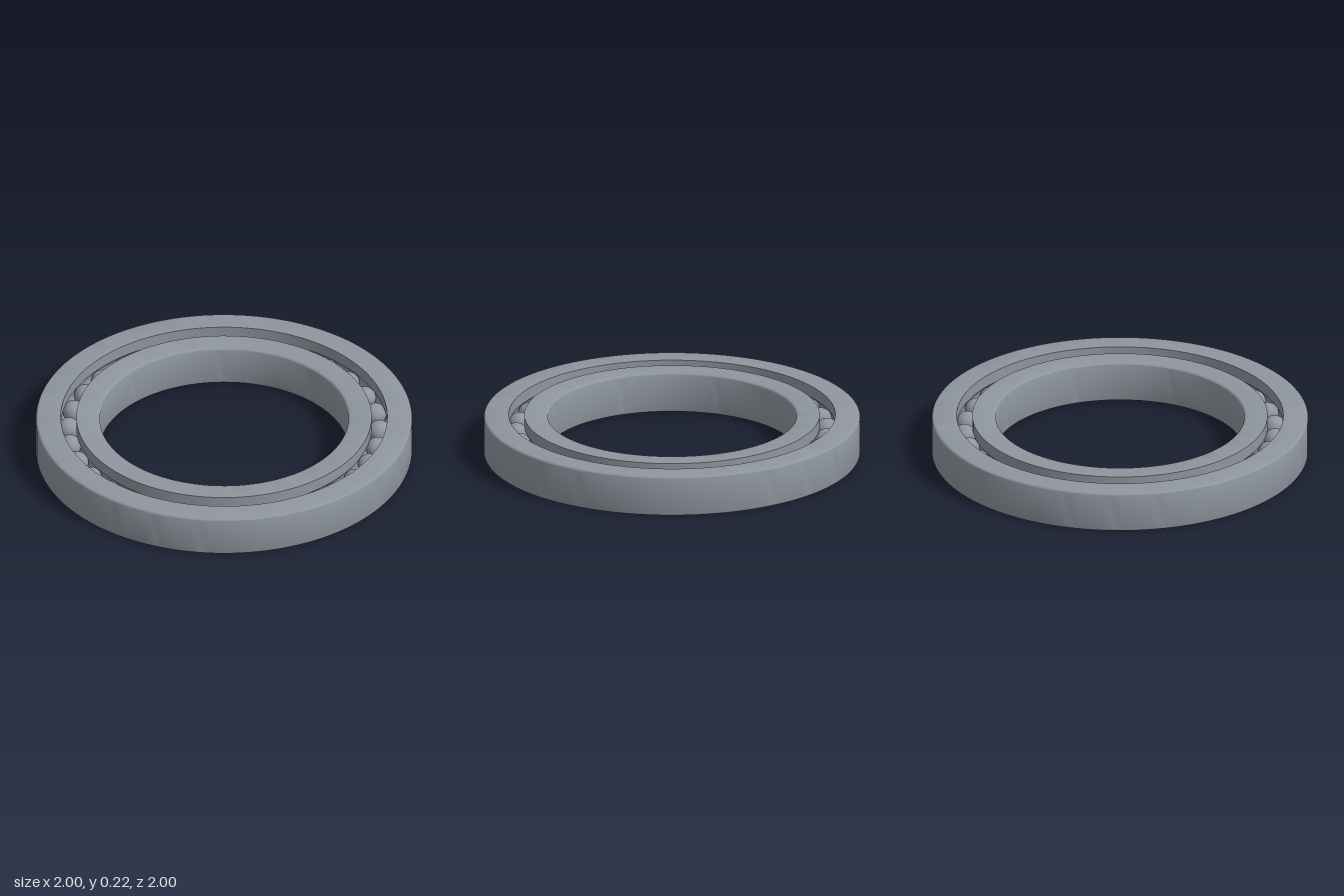
import * as THREE from 'three';
import { toCreasedNormals } from 'three/addons/utils/BufferGeometryUtils.js';

const HEIGHT = 0.22, MID = HEIGHT / 2;
const OUTER = 1, BORE = 0.66;              // outside and bore radii
const GAP_IN = 0.785, GAP_OUT = 0.868;     // walls of the gap between the rings
const PITCH = (GAP_IN + GAP_OUT) / 2;      // radius of the ball circle
const BALL = 0.06, BALL_COUNT = 31;
const GROOVE = 0.062, FILLET = 0.014;

// Points along an arc, in the (radius, height) plane
function arc(cx, cy, r, from, to, steps) {
  return Array.from({ length: steps + 1 }, (_, i) => {
    const a = from + (to - from) * i / steps;
    return new THREE.Vector2(cx + r * Math.cos(a), cy + r * Math.sin(a));
  });
}

// Revolve a closed counter-clockwise profile
function revolve(points, material, name) {
  const geometry = new THREE.LatheGeometry([...points, points[0].clone()], 128);
  const mesh = new THREE.Mesh(toCreasedNormals(geometry, 0.5), material);
  mesh.name = name;
  return mesh;
}

export function createModel() {
  const group = new THREE.Group();
  group.name = 'ballBearing';
  const steel = new THREE.MeshStandardMaterial({ color: 0x8f969f });
  steel.name = 'steel grey';

  const P = Math.PI;
  const half = Math.acos((GAP_OUT - PITCH) / GROOVE); // angle of the groove lip from the wall normal

  // Outer ring: rounded outside edges, ball groove on the inside wall
  group.add(revolve([
    new THREE.Vector2(GAP_OUT, 0),
    ...arc(OUTER - FILLET, FILLET, FILLET, -P / 2, 0, 6),
    ...arc(OUTER - FILLET, HEIGHT - FILLET, FILLET, 0, P / 2, 6),
    new THREE.Vector2(GAP_OUT, HEIGHT),
    ...arc(PITCH, MID, GROOVE, half, -half, 12),
  ], steel, 'outerRing'));

  // Inner ring: rounded bore edges, ball groove on the outside wall
  group.add(revolve([
    new THREE.Vector2(GAP_IN, 0),
    ...arc(PITCH, MID, GROOVE, P + half, P - half, 12),
    new THREE.Vector2(GAP_IN, HEIGHT),
    ...arc(BORE + FILLET, HEIGHT - FILLET, FILLET, P / 2, P, 6),
    ...arc(BORE + FILLET, FILLET, FILLET, P, P * 1.5, 6),
  ], steel, 'innerRing'));

  // Balls spaced evenly round the gap
  const balls = new THREE.Group();
  balls.name = 'balls';
  const ballGeometry = new THREE.SphereGeometry(BALL, 32, 20);
  for (let i = 0; i < BALL_COUNT; i++) {
    const a = i / BALL_COUNT * P * 2;
    const ball = new THREE.Mesh(ballGeometry, steel);
    ball.name = 'ball';
    ball.position.set(PITCH * Math.cos(a), MID, PITCH * Math.sin(a));
    balls.add(ball);
  }
  group.add(balls);
  return group;
}
